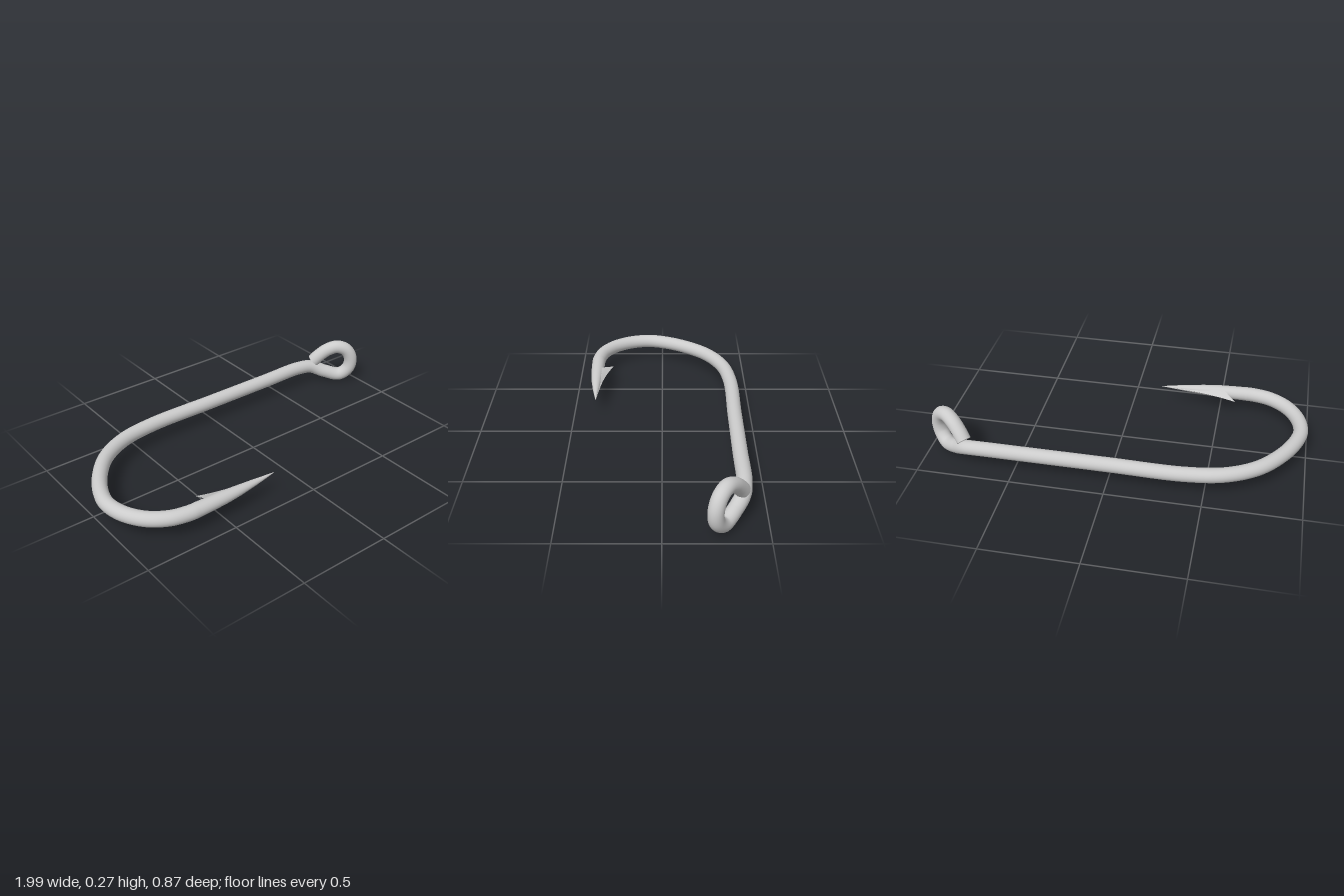
import * as THREE from 'three';
import { toCreasedNormals } from 'three/addons/utils/BufferGeometryUtils.js';

const WIRE = 0.039, MID_Y = 0.11;

// Skin a list of rings that run along +x, each counter-clockwise seen from +x
function loft(rings, capStart) {
  const n = rings[0].length, pos = [], idx = [];
  rings.forEach(r => r.forEach(p => pos.push(p.x, p.y, p.z)));
  for (let i = 0; i < rings.length - 1; i++) {
    for (let j = 0; j < n; j++) {
      const a = i * n + j, b = i * n + (j + 1) % n;
      idx.push(a, b, a + n, b, b + n, a + n);
    }
  }
  if (capStart) {
    const c = new THREE.Vector3();
    rings[0].forEach(p => c.addScaledVector(p, 1 / n));
    pos.push(c.x, c.y, c.z);
    for (let j = 0; j < n; j++) idx.push(rings.length * n, (j + 1) % n, j);
  }
  const g = new THREE.BufferGeometry();
  g.setAttribute('position', new THREE.Float32BufferAttribute(pos, 3));
  g.setIndex(idx);
  g.computeVertexNormals();
  return g;
}

export function createModel() {
  const group = new THREE.Group();
  group.name = 'fishHook';
  const mat = new THREE.MeshStandardMaterial({ color: 0xcccccc });
  const add = (name, geo) => {
    const m = new THREE.Mesh(geo, mat);
    m.name = name;
    group.add(m);
    return m;
  };

  // Bent wire: eye loop, straight shank, then the round bend
  const path = [
    [0.77, 0.137, -0.377], [0.795, 0.17, -0.358], [0.837, 0.21, -0.327], [0.885, 0.229, -0.292],
    [0.932, 0.207, -0.26], [0.956, 0.15, -0.243], [0.948, 0.085, -0.249], [0.905, 0.041, -0.283],
    [0.83, 0.062, -0.336], [0.755, 0.098, -0.381], [0.66, MID_Y, -0.395],
    [0.4, MID_Y, -0.395], [0, MID_Y, -0.395], [-0.4, MID_Y, -0.395],
    [-0.6, MID_Y, -0.36], [-0.76, MID_Y, -0.272], [-0.88, MID_Y, -0.13], [-0.943, MID_Y, 0],
    [-0.96, MID_Y, 0.09], [-0.937, MID_Y, 0.2], [-0.872, MID_Y, 0.3], [-0.78, MID_Y, 0.363],
    [-0.68, MID_Y, 0.387], [-0.64, MID_Y, 0.388],
  ].map(p => new THREE.Vector3(...p));
  const curve = new THREE.CatmullRomCurve3(path, false, 'centripetal');
  add('wire', new THREE.TubeGeometry(curve, 260, WIRE, 28));

  // Flat cut end of the eye loop
  const cap = add('eyeEnd', new THREE.CircleGeometry(WIRE, 28));
  cap.position.copy(path[0]);
  cap.lookAt(path[0].clone().sub(curve.getTangent(0)));

  // Tapered point: x, centre z, half depth, half height
  const stations = [
    [-0.66, 0.388, 0.039, 0.039], [-0.58, 0.388, 0.038, 0.037], [-0.49, 0.387, 0.036, 0.034],
    [-0.4, 0.386, 0.029, 0.027], [-0.3, 0.382, 0.019, 0.017], [-0.22, 0.378, 0.009, 0.008],
    [-0.16, 0.374, 0.0005, 0.0005],
  ];
  const at = x => {
    let i = 1;
    while (i < stations.length - 1 && stations[i][0] < x) i++;
    const a = stations[i - 1], b = stations[i], t = (x - a[0]) / (b[0] - a[0]);
    return a.map((v, k) => v + (b[k] - v) * t);
  };
  add('point', loft(stations.map(([x, z, rz, ry]) => Array.from({ length: 28 }, (_, j) => {
    const a = j / 28 * Math.PI * 2;
    return new THREE.Vector3(x, MID_Y + Math.cos(a) * ry, z + Math.sin(a) * rz);
  }))));

  // Barb: swept-back wedge whose ridge runs from the barb tip to the point
  const ridge = new THREE.CatmullRomCurve3([
    [-0.59, 0.295], [-0.5, 0.323], [-0.4, 0.346], [-0.28, 0.362], [-0.16, 0.3735],
  ].map(([x, z]) => new THREE.Vector3(x, MID_Y, z)));
  const rings = [];
  for (let i = 0; i <= 16; i++) {
    const t = i / 16, top = ridge.getPoint(t);
    const [x, z, , ry] = at(-0.49 + 0.33 * t);
    const corner = (k, w) => new THREE.Vector3(
      x + (top.x - x) * k, MID_Y + ry * w, z + (top.z - z) * k);
    rings.push([corner(0, 0.97), corner(0, -0.97), corner(0.35, -0.72), corner(0.68, -0.32),
      corner(1, 0), corner(0.68, 0.32), corner(0.35, 0.72)]);
  }
  add('barb', toCreasedNormals(loft(rings, true), 0.6));

  return group;
}
